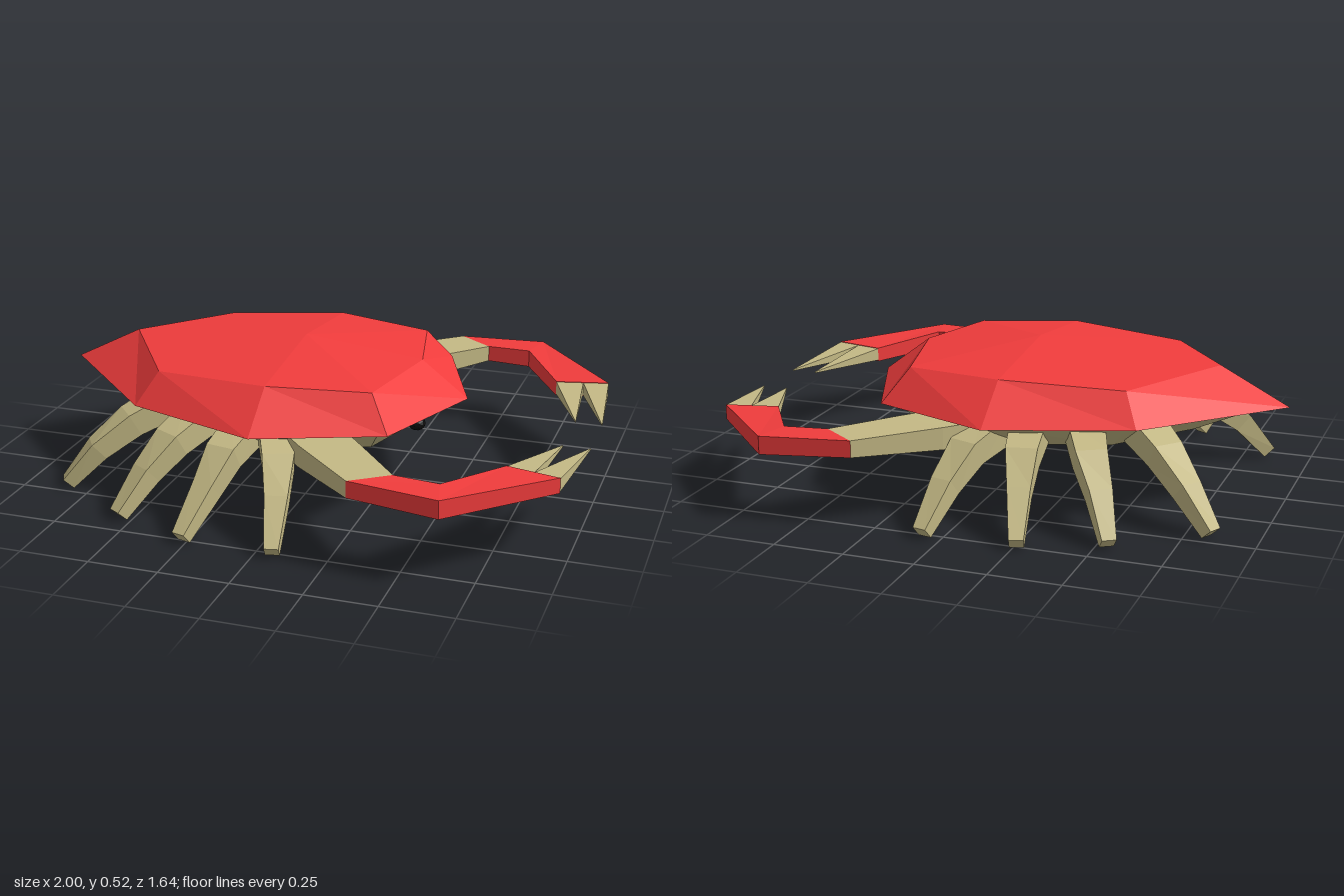
import * as THREE from 'three';

const paint = (color) => new THREE.MeshStandardMaterial({ color, flatShading: true });

// Closed faceted solid through a list of equal-length rings of [x, y, z] points
function loft(rings) {
  const tris = [];
  const n = rings[0].length;
  const mid = (r) => [0, 1, 2].map((k) => r.reduce((s, p) => s + p[k], 0) / n);
  const first = mid(rings[0]), last = mid(rings[rings.length - 1]);
  for (let j = 0; j < n; j++) {
    const k = (j + 1) % n;
    tris.push([first, rings[0][k], rings[0][j]]);
    for (let i = 0; i + 1 < rings.length; i++) {
      const a = rings[i], b = rings[i + 1];
      tris.push([a[j], a[k], b[k]], [a[j], b[k], b[j]]);
    }
    const e = rings[rings.length - 1];
    tris.push([last, e[j], e[k]]);
  }
  // drop empty triangles and turn the solid so that it faces outward
  let volume = 0;
  const kept = tris.map((t) => t.map((p) => new THREE.Vector3(...p))).filter(([a, b, c]) => {
    const cross = b.clone().sub(a).cross(c.clone().sub(a));
    volume += a.dot(b.clone().cross(c));
    return cross.length() > 1e-7;
  });
  const pts = kept.flatMap(([a, b, c]) => (volume < 0 ? [a, c, b] : [a, b, c]));
  const g = new THREE.BufferGeometry().setFromPoints(pts);
  g.computeVertexNormals();
  return g;
}

// Rectangular limb along stations of [x, y, z, width, height]
function limb(stations) {
  const P = stations.map((s) => new THREE.Vector3(s[0], s[1], s[2]));
  return loft(stations.map(([, , , w, h], i) => {
    const dir = P[Math.min(i + 1, P.length - 1)].clone().sub(P[Math.max(i - 1, 0)]).normalize();
    const side = dir.clone().cross(new THREE.Vector3(0, 1, 0)).normalize();
    const up = side.clone().cross(dir);
    return [[1, 1], [-1, 1], [-1, -1], [1, -1]].map(([a, b]) =>
      P[i].clone().addScaledVector(side, a * w / 2).addScaledVector(up, b * h / 2).toArray());
  }));
}

// Slab from stations of [inner x, inner z, outer x, outer z, bottom y, top y]
const slab = (stations) => loft(stations.map(([ix, iz, ox, oz, y0, y1]) =>
  [[ix, y0, iz], [ox, y0, oz], [ox, y1, oz], [ix, y1, iz]]));

// Eight-sided ring from five points of the +z half, back to front
const ring = (half) => [...half, ...half.slice(1, 4).reverse().map(([x, y, z]) => [x, y, -z])];
const point = (x, y, z) => Array.from({ length: 8 }, () => [x, y, z]);

export function createModel() {
  const model = new THREE.Group();
  const red = paint(0xf03c3c), tan = paint(0xc4b985), black = paint(0x0c0c0c);
  const add = (name, geometry, material, parent = model) => {
    const mesh = new THREE.Mesh(geometry, material);
    mesh.name = name;
    parent.add(mesh);
    return mesh;
  };

  // Shell: domed top and sloping rim
  add('shell', loft([
    point(-0.08, 0.52, 0),
    ring([[-0.75, 0.47, 0], [-0.51, 0.45, 0.36], [-0.08, 0.47, 0.44], [0.28, 0.46, 0.36], [0.36, 0.47, 0]]),
    ring([[-1, 0.34, 0], [-0.57, 0.34, 0.44], [-0.08, 0.34, 0.61], [0.36, 0.34, 0.44], [0.53, 0.34, 0]]),
  ]), red);

  // Belly under the shell
  add('belly', loft([
    ring([[-0.92, 0.338, 0], [-0.54, 0.338, 0.4], [-0.08, 0.338, 0.56], [0.32, 0.338, 0.4], [0.48, 0.338, 0]]),
    ring([[-0.66, 0.225, 0], [-0.44, 0.23, 0.29], [-0.08, 0.215, 0.36], [0.26, 0.235, 0.3], [0.33, 0.22, 0]]),
    point(-0.08, 0.175, 0),
  ]), tan);

  // Legs: hip, knee, shin and foot positions in x and z
  const legs = [
    [[-0.54, 0.24], [-0.64, 0.33], [-0.74, 0.41], [-0.84, 0.46]],
    [[-0.36, 0.34], [-0.42, 0.47], [-0.48, 0.56], [-0.545, 0.665]],
    [[-0.17, 0.36], [-0.2, 0.53], [-0.225, 0.63], [-0.265, 0.77]],
    [[-0.06, 0.38], [0.0, 0.53], [0.035, 0.645], [0.065, 0.78]],
  ];
  const legY = [0.29, 0.235, 0.145, 0.02];
  const legW = [0.13, 0.11, 0.08, 0.05];
  const legH = [0.1, 0.09, 0.075, 0.05];

  for (const s of [1, -1]) {
    const sideName = s > 0 ? 'left' : 'right';
    legs.forEach((path, i) => add(`${sideName}Leg${i + 1}`,
      limb(path.map(([x, z], k) => [x, legY[k], s * z, legW[k], legH[k]])), tan));

    // Claw: upper arm, bent forearm and two pincer fingers
    const claw = new THREE.Group();
    claw.name = `${sideName}Claw`;
    model.add(claw);
    const clawSlab = (name, rows, mat) => add(name,
      slab(rows.map(([a, b, c, d, y0, y1]) => [a, s * b, c, s * d, y0, y1])), mat, claw);
    clawSlab('upperArm', [
      [0.16, 0.34, 0.0, 0.46, 0.23, 0.315],
      [0.27, 0.47, 0.08, 0.55, 0.235, 0.315],
      [0.45, 0.68, 0.32, 0.775, 0.25, 0.31],
    ], tan);
    clawSlab('forearm', [
      [0.45, 0.68, 0.32, 0.775, 0.25, 0.31],
      [0.61, 0.69, 0.64, 0.82, 0.24, 0.305],
      [0.77, 0.43, 0.96, 0.475, 0.23, 0.285],
    ], red);
    clawSlab('innerFinger', [
      [0.77, 0.43, 0.868, 0.453, 0.235, 0.283],
      [0.9, 0.12, 0.902, 0.12, 0.25, 0.255],
    ], tan);
    clawSlab('outerFinger', [
      [0.868, 0.453, 0.96, 0.475, 0.235, 0.283],
      [0.995, 0.12, 0.998, 0.12, 0.25, 0.255],
    ], tan);

    // Eye set in the front of the belly
    const eye = add(`${sideName}Eye`, new THREE.IcosahedronGeometry(0.032, 1), black);
    eye.scale.y = 0.8;
    eye.position.set(0.385, 0.287, s * 0.155);
  }
  return model;
}
